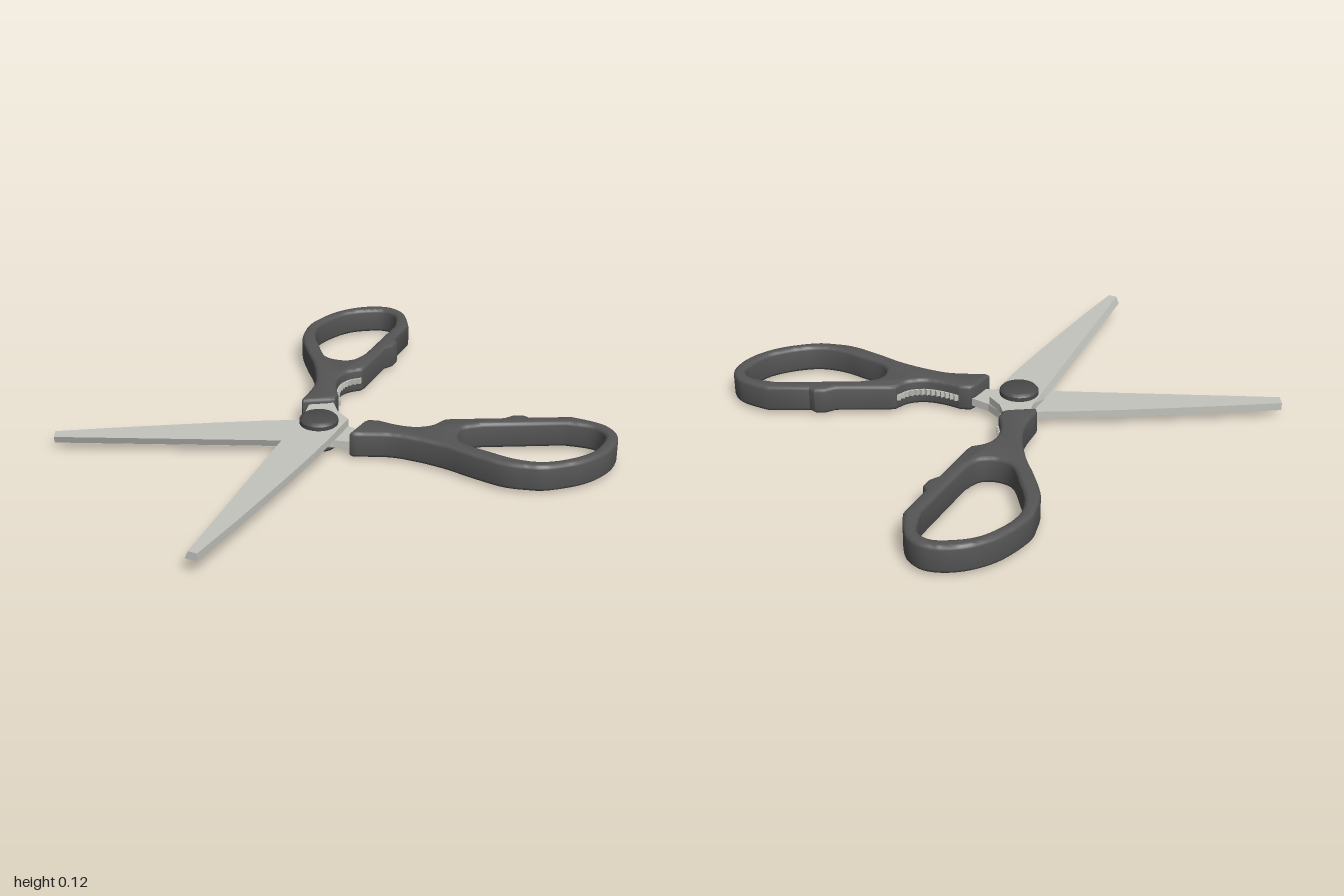
import * as THREE from 'three';
import { toCreasedNormals } from 'three/addons/utils/BufferGeometryUtils.js';

const PIVOT = new THREE.Vector3(-0.085, 0.06, 0.05);

// Plan points are [x, z]; the shape plane is stood flat by laying -z along shape y.
const plan = (list) => list.map(([x, z]) => new THREE.Vector2(x, -z));

// Extrudes a plan shape from height y0 to y1, with optional rounded rims.
function slab(shape, y0, y1, round = 0) {
  const geometry = new THREE.ExtrudeGeometry(shape, {
    depth: y1 - y0 - 2 * round,
    curveSegments: 5,
    bevelEnabled: round > 0,
    bevelThickness: round,
    bevelSize: round,
    bevelOffset: -round,
    bevelSegments: 3,
  });
  geometry.rotateX(-Math.PI / 2);
  geometry.translate(0, y0 + round, 0);
  return geometry;
}

function handleGeometry() {
  const shape = new THREE.Shape();
  shape.moveTo(-0.2, 0.055);
  shape.lineTo(-0.115, 0.108);
  shape.lineTo(-0.1, 0.125);
  shape.lineTo(-0.105, 0.165);
  // finger recess
  shape.splineThru(plan([[-0.14, -0.225], [-0.16, -0.29], [-0.15, -0.35], [-0.11, -0.395]]));
  shape.lineTo(-0.105, 0.42);
  // straight inner side with its stop bump
  for (const p of plan([[-0.105, -0.615], [-0.085, -0.65], [-0.085, -0.69], [-0.105, -0.71], [-0.105, -0.86]])) shape.lineTo(p.x, p.y);
  // round end and outer side
  shape.splineThru(plan([
    [-0.14, -0.925], [-0.18, -0.975], [-0.245, -1], [-0.32, -0.98], [-0.39, -0.925], [-0.445, -0.84],
    [-0.477, -0.72], [-0.47, -0.645], [-0.445, -0.565], [-0.38, -0.47], [-0.31, -0.38],
    [-0.255, -0.285], [-0.22, -0.195], [-0.21, -0.07],
  ]));
  // finger hole
  const hole = new THREE.Path();
  hole.moveTo(-0.157, 0.53);
  hole.lineTo(-0.155, 0.83);
  hole.splineThru(plan([
    [-0.19, -0.925], [-0.245, -0.955], [-0.305, -0.935], [-0.375, -0.88], [-0.42, -0.79], [-0.435, -0.7],
    [-0.41, -0.615], [-0.36, -0.54], [-0.295, -0.455], [-0.235, -0.437], [-0.18, -0.46], [-0.157, -0.53],
  ]));
  shape.holes.push(hole);
  return toCreasedNormals(slab(shape, 0.01, 0.11, 0.014), 0.6);
}

function bladeGeometry() {
  const shape = new THREE.Shape(plan([
    [-0.1, 1], [-0.055, 1], [-0.035, 0.78], [-0.022, 0.6], [-0.01, 0.42], [-0.002, 0.25], [0, 0.15],
    [0, -0.02], [-0.06, -0.06], [-0.12, -0.14], [-0.185, -0.09], [-0.165, 0], [-0.165, 0.1],
  ]));
  const geometry = slab(shape, 0.061, 0.09);
  // grind the cutting edge: pull its upper rim inwards
  const pos = geometry.attributes.position;
  for (let i = 0; i < pos.count; i++) {
    const x = pos.getX(i), z = pos.getZ(i);
    if (pos.getY(i) > 0.08 && z > 0.09 && x < -0.08) pos.setX(i, x + 0.012);
  }
  geometry.computeVertexNormals();
  return geometry;
}

// Serrated strip set in the finger recess.
function gripGeometry() {
  const curve = new THREE.SplineCurve(plan([[-0.108, -0.17], [-0.14, -0.225], [-0.16, -0.29], [-0.15, -0.35], [-0.112, -0.393]]));
  const teeth = 13, outer = [], inner = [];
  for (let i = 0; i <= teeth * 2; i++) {
    const u = i / (teeth * 2);
    const p = curve.getPointAt(u), t = curve.getTangentAt(u);
    const normal = new THREE.Vector2(t.y, -t.x);
    outer.push(p.clone().addScaledVector(normal, i % 2 ? 0.011 : 0.001));
    inner.unshift(p.clone().addScaledVector(normal, -0.012));
  }
  return slab(new THREE.Shape([...outer, ...inner]), 0.049, 0.071);
}

export function createModel() {
  const model = new THREE.Group();
  model.name = 'scissors';
  const material = (name, color) => {
    const m = new THREE.MeshStandardMaterial({ color });
    m.name = name;
    return m;
  };
  const plastic = material('dark grey plastic', 0x555555);
  const steel = material('pale steel', 0xc4c4be);
  const rivet = material('charcoal rivet', 0x4a4a4a);

  const parts = [
    ['handle', handleGeometry(), plastic],
    ['blade', bladeGeometry(), steel],
    ['gripTeeth', gripGeometry(), steel],
  ];
  for (const [, geometry] of parts) geometry.translate(-PIVOT.x, -PIVOT.y, -PIVOT.z);

  // The second half is the first turned over about the line between the handles.
  const angle = THREE.MathUtils.degToRad(121.8);
  const axis = new THREE.Vector3(Math.cos(angle), 0, Math.sin(angle));
  ['upperHalf', 'lowerHalf'].forEach((name, i) => {
    const half = new THREE.Group();
    half.name = name;
    for (const [part, geometry, mat] of parts) {
      const mesh = new THREE.Mesh(geometry, mat);
      mesh.name = part;
      half.add(mesh);
    }
    half.position.copy(PIVOT);
    if (i) half.quaternion.setFromAxisAngle(axis, Math.PI);
    model.add(half);
  });

  // Pivot screw: a rounded cap above and below on a narrow pin
  const profile = [
    [0, 0], [0.054, 0], [0.064, 0.004], [0.07, 0.012], [0.07, 0.029], [0.03, 0.029],
    [0.03, 0.091], [0.07, 0.091], [0.07, 0.106], [0.064, 0.113], [0.054, 0.117], [0, 0.117],
  ].map(([r, y]) => new THREE.Vector2(r, y));
  const screw = new THREE.Mesh(toCreasedNormals(new THREE.LatheGeometry(profile, 40), 0.6), rivet);
  screw.name = 'pivotScrew';
  screw.position.set(PIVOT.x, 0, PIVOT.z);
  model.add(screw);
  return model;
}
